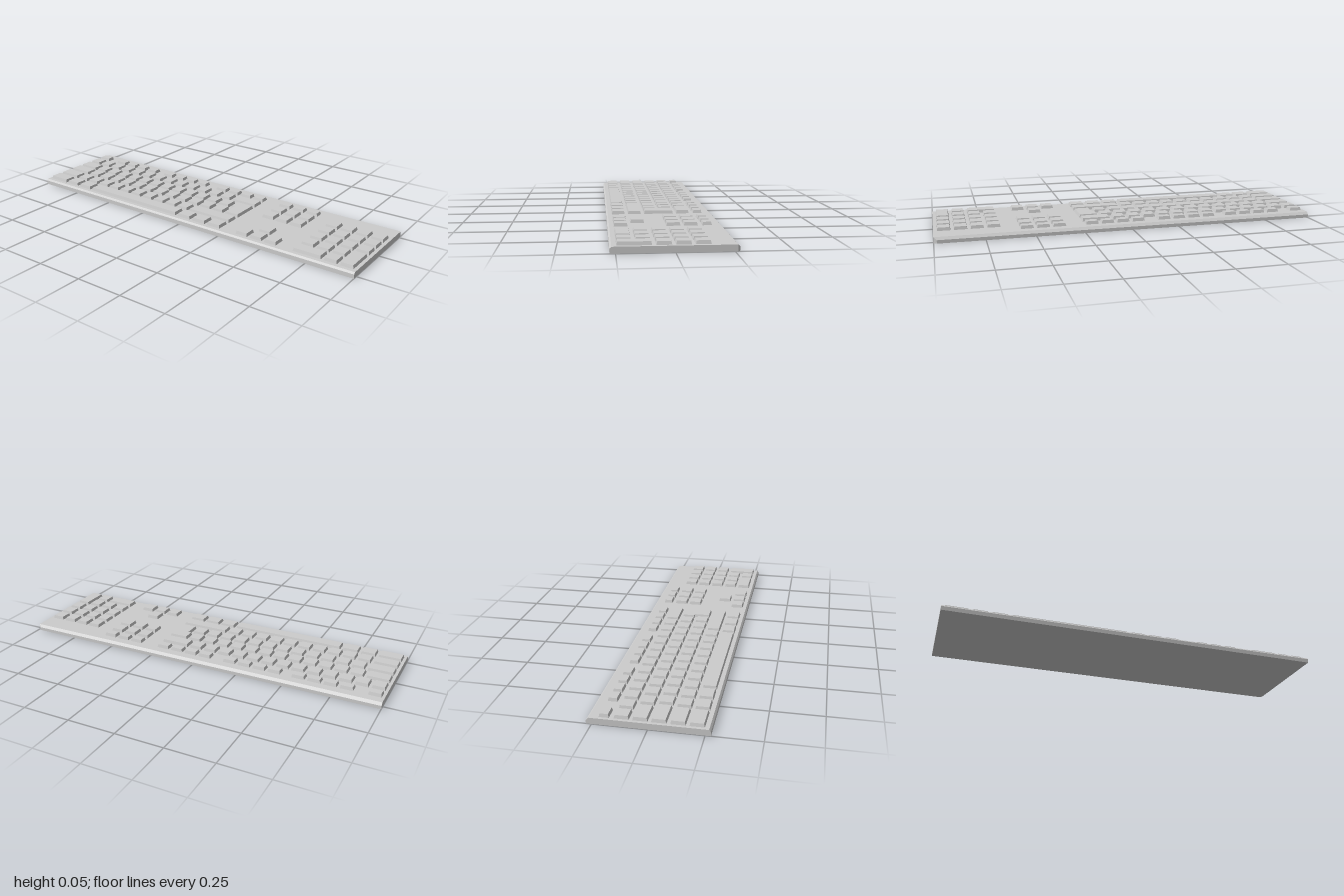
import * as THREE from 'three';
import { ConvexGeometry } from 'three/addons/geometries/ConvexGeometry.js';

const U = 0.0828;                                  // key pitch
const GAP = 0.008;                                 // half the space between keys
const ROWS = [-0.12, -0.037, 0.046, 0.13, 0.213];  // row centres, back to front
const LEFT = -0.993;                               // left edge of the main block
const material = new THREE.MeshStandardMaterial({ color: 0xcccccc, flatShading: true });

// Keycap from an outline of [x, z] corners, with sides that taper to the top
function keycap(name, corners) {
  const shape = new THREE.Shape(corners.map(([x, z]) => new THREE.Vector2(x, -z)));
  const geometry = new THREE.ExtrudeGeometry(shape, {
    depth: 0.012, bevelThickness: 0.016, bevelSize: 0.004, bevelOffset: -0.004, bevelSegments: 1,
  });
  geometry.rotateX(-Math.PI / 2).translate(0, 0.018, 0);
  const mesh = new THREE.Mesh(geometry, material);
  mesh.name = name;
  return mesh;
}

// Rectangular key filling the cell x0..x1, z0..z1 less the gap
function key(name, x0, x1, z0, z1) {
  const [a, b, c, d] = [x0 + GAP, x1 - GAP, z0 + GAP, z1 - GAP];
  return keycap(name, [[a, d], [b, d], [b, c], [a, c]]);
}

// Base slab: bevelled along front and back, one back corner clipped
function createBase() {
  const profile = [[0, 0.275], [0.021, 0.275], [0.03, 0.267], [0.03, -0.263], [0.017, -0.275], [0, -0.275]];
  const points = [new THREE.Vector3(1, 0, -0.263)];
  for (const [y, z] of profile) {
    points.push(new THREE.Vector3(-1, y, z), new THREE.Vector3(z < -0.27 ? 0.985 : 1, y, z));
  }
  const base = new THREE.Mesh(new ConvexGeometry(points), material);
  base.name = 'base';
  return base;
}

export function createModel() {
  const model = new THREE.Group();
  model.name = 'keyboard';
  model.add(createBase());
  const h = U / 2;
  const addGroup = (name) => {
    const group = new THREE.Group();
    group.name = name;
    model.add(group);
    return group;
  };
  const small = (group, name, x, z, half = h) => group.add(key(name, x - h, x + h, z - half, z + half));

  // Function row: shallow keys in spaced runs of [first centre, count]
  const functions = addGroup('functionRow');
  for (const [x, count] of [[-0.952, 1], [-0.813, 4], [-0.436, 4], [-0.045, 4], [0.374, 3]]) {
    for (let i = 0; i < count; i++) small(functions, 'functionKey', x + i * U, -0.198, 0.031);
  }

  // Main block: each row lists the key widths in pitches
  const main = addGroup('mainKeys');
  const ones = (n) => Array(n).fill(1);
  const layout = [
    [...ones(13), 2],
    [1.6, ...ones(12)],
    [1.8, ...ones(12)],
    [1.7, ...ones(10), 3.3],
    [1.66, 1.13, 1.2, 7.55, 1.16, 1.16, 1.14],
  ];
  layout.forEach((widths, r) => {
    let x = LEFT;
    for (const w of widths) {
      main.add(key(w > 5 ? 'spaceBar' : w > 1 ? 'wideKey' : 'key', x, x + w * U, ROWS[r] - h, ROWS[r] + h));
      x += w * U;
    }
  });

  // Stepped enter key over the second and third rows
  const xa = LEFT + 13.6 * U + GAP, xb = LEFT + 13.8 * U + GAP, xr = LEFT + 15 * U - GAP;
  const top = ROWS[1] - h + GAP, step = ROWS[1] + h - GAP, bottom = ROWS[2] + h - GAP;
  main.add(keycap('enterKey', [[xb, bottom], [xr, bottom], [xr, top], [xa, top], [xa, step], [xb, step]]));

  // Navigation keys and arrows
  const navigation = addGroup('navigationKeys');
  for (let i = 0; i < 3; i++) {
    const x = 0.374 + i * U;
    small(navigation, 'navigationKey', x, ROWS[0]);
    small(navigation, 'navigationKey', x, ROWS[1]);
    small(navigation, 'arrowKey', x, ROWS[4]);
  }
  small(navigation, 'arrowKey', 0.374 + U, ROWS[3]);

  // Number pad with a wide zero and a tall enter
  const pad = addGroup('numberPad');
  const px = 0.7;
  for (let r = 0; r < 4; r++) {
    for (let c = 0; c < (r < 3 ? 4 : 3); c++) small(pad, 'padKey', px + c * U, ROWS[r]);
  }
  pad.add(key('padZero', px - h, px + 1.5 * U, ROWS[4] - h, ROWS[4] + h));
  small(pad, 'padKey', px + 2 * U, ROWS[4]);
  pad.add(key('padEnter', px + 2.5 * U, px + 3.5 * U, ROWS[3] - h, ROWS[4] + h));
  return model;
}
